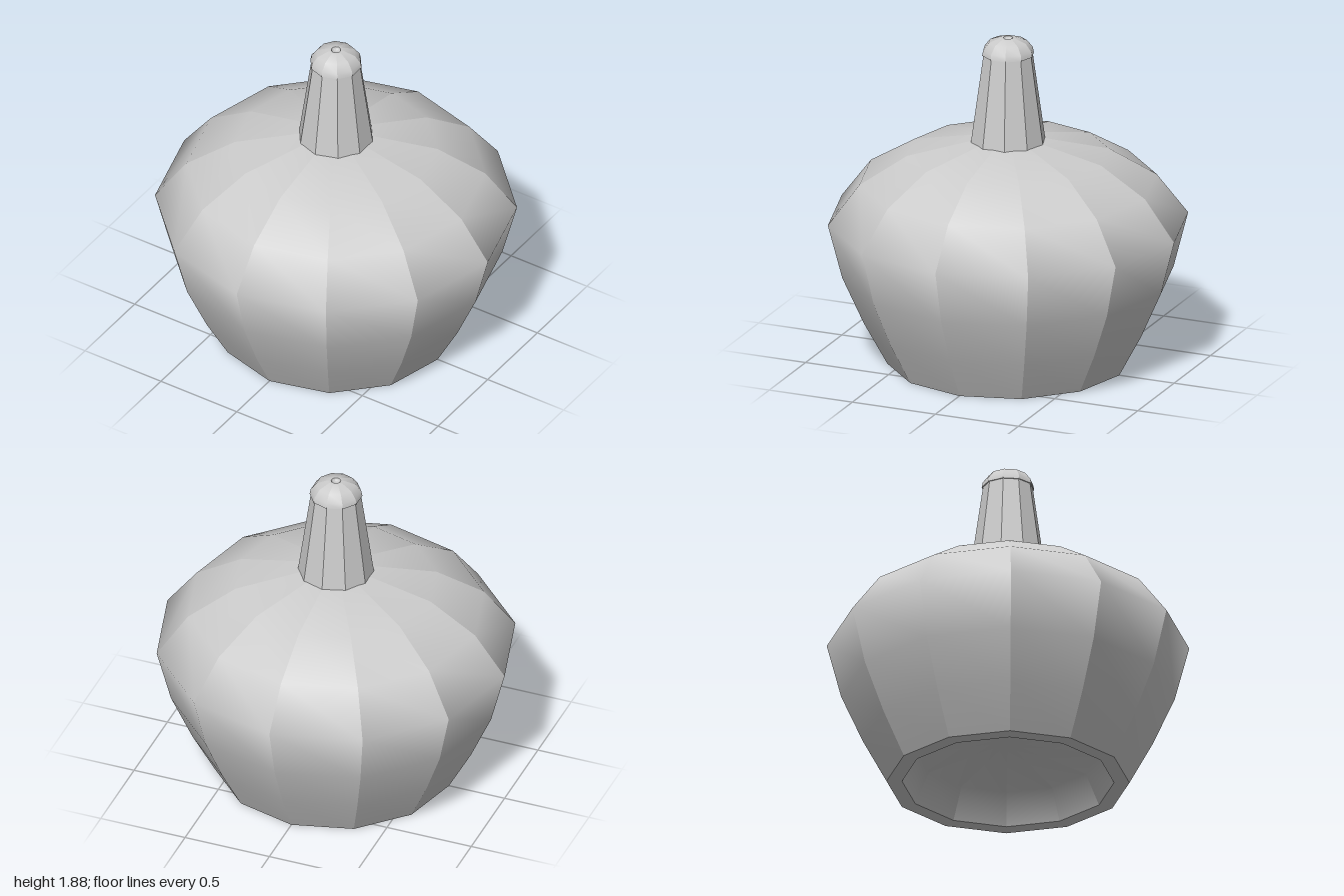
import * as THREE from 'three';
import { mergeGeometries } from 'three/addons/utils/BufferGeometryUtils.js';

const material = new THREE.MeshStandardMaterial({ color: 0xcccccc });

// Faceted turning: crisp edges between the sides, smooth shading along each profile.
// Each profile is a list of [radius, height]; a new profile starts a sharp edge.
function turned(name, sides, ...profiles) {
  const step = (Math.PI * 2) / sides;
  const panels = [];
  for (const profile of profiles) {
    const points = profile.map(([r, y]) => new THREE.Vector2(r, y));
    for (let i = 0; i < sides; i++) {
      const panel = new THREE.LatheGeometry(points, 1, i * step, step);
      panel.computeVertexNormals();
      panels.push(panel);
    }
  }
  const mesh = new THREE.Mesh(mergeGeometries(panels), material);
  mesh.name = name;
  return mesh;
}

export function createModel() {
  const group = new THREE.Group();
  group.name = 'stemmedPot';

  // Twelve-sided body with a flat foot rim and a recessed underside
  group.add(turned('body', 12,
    [[0.67, 0], [0.8, 0.24], [0.92, 0.51], [1, 0.82], [0.825, 1.05], [0.56, 1.21], [0.2, 1.285], [0, 1.29]]));
  group.add(turned('footRim', 12, [[0.585, 0], [0.67, 0]]));
  group.add(turned('underside', 12, [[0, 0.24], [0.5, 0.17], [0.585, 0]]));

  // Tapered stem
  group.add(turned('stem', 10, [[0.21, 1.28], [0.137, 1.8]]));

  // Rounded cap with a small dimple at the tip
  group.add(turned('cap', 10,
    [[0.12, 1.785], [0.146, 1.785]],
    [[0.146, 1.785], [0.14, 1.815], [0.108, 1.857], [0.045, 1.88], [0.027, 1.88]],
    [[0.027, 1.88], [0.022, 1.865], [0, 1.865]]));

  return group;
}
